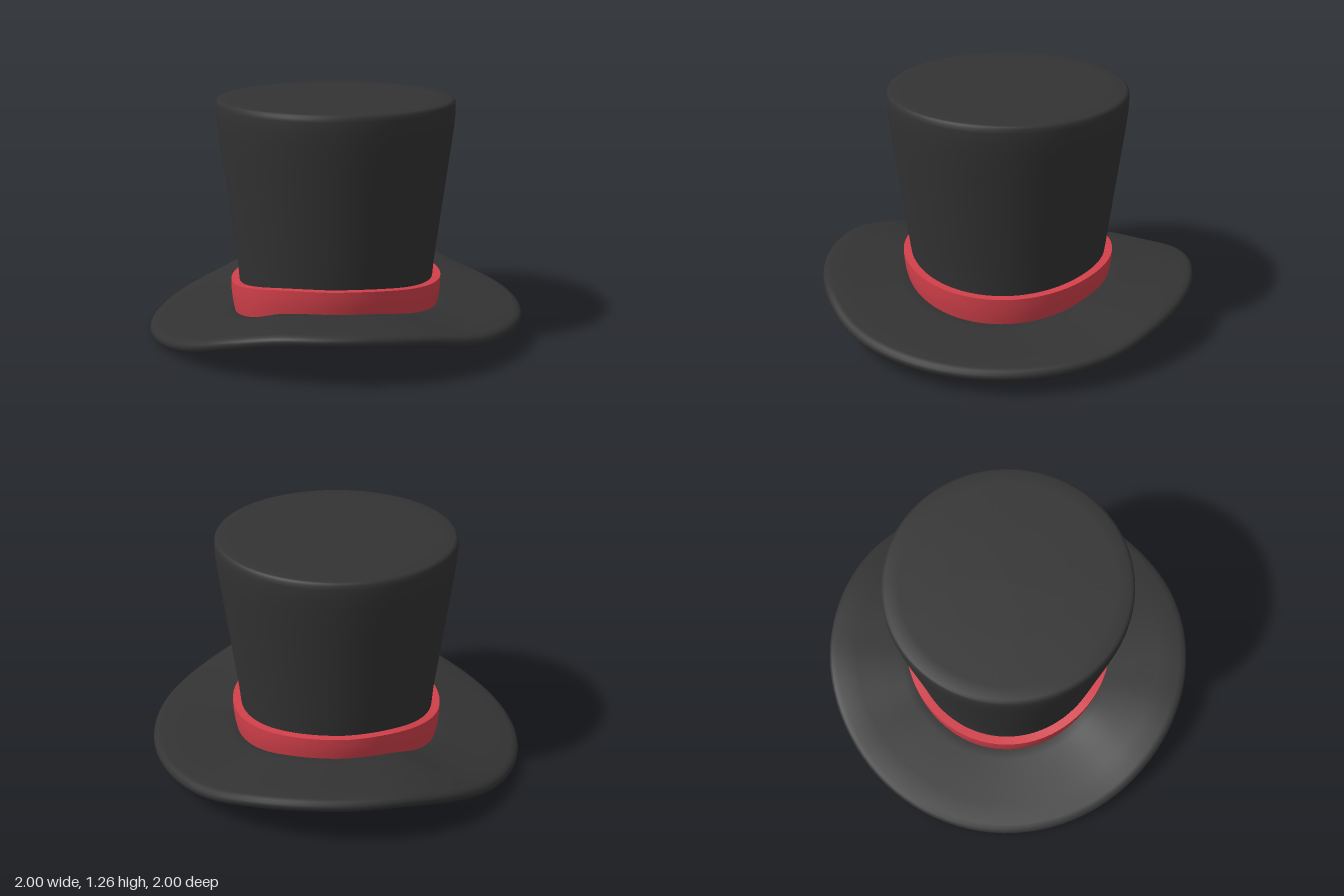
import * as THREE from 'three';
import { mergeVertices, toCreasedNormals } from 'three/addons/utils/BufferGeometryUtils.js';

const SEGMENTS = 96;

// Smooth height curve around the hat; samples are evenly spaced from u = -1 (right side) to u = 1 (left side).
function heightCurve(values) {
  const knots = values.map((v, i) => -1 + (2 * i) / (values.length - 1));
  const interpolant = new THREE.CubicInterpolant(knots, values, 1, [0]);
  return (u) => interpolant.evaluate(THREE.MathUtils.clamp(u, -1, 1))[0];
}

const brimEdge = heightCurve([0.066, 0.13, 0.212, 0.265, 0.275, 0.27, 0.24, 0.178, 0.145]);
const brimInner = heightCurve([0.125, 0.168, 0.218, 0.234, 0.236, 0.234, 0.224, 0.198, 0.165]);
const bandTop = heightCurve([0.285, 0.322, 0.348, 0.359, 0.36, 0.359, 0.35, 0.332, 0.31]);

// Height of the brim's upper surface at radius r.
const brimHeight = (r, u) => THREE.MathUtils.lerp(brimInner(u), brimEdge(u), (r - 0.5) / 0.5);

// Turns a profile, then moves every vertex to the height given by warp(y, r, u).
function warpedLathe(name, profile, warp, color, crease) {
  const points = profile.map(([r, y]) => new THREE.Vector2(r, y));
  let geometry = new THREE.LatheGeometry(points, SEGMENTS);
  const pos = geometry.attributes.position;
  for (let i = 0; i < pos.count; i++) {
    const r = Math.hypot(pos.getX(i), pos.getZ(i));
    const u = r > 0.001 ? pos.getX(i) / r : 0;
    pos.setY(i, warp(pos.getY(i), r, u));
  }
  geometry.deleteAttribute('uv');
  geometry.deleteAttribute('normal');
  geometry = toCreasedNormals(mergeVertices(geometry, 1e-4), crease);
  const mesh = new THREE.Mesh(geometry, new THREE.MeshStandardMaterial({ color, side: THREE.DoubleSide }));
  mesh.name = name;
  return mesh;
}

export function createModel() {
  const hat = new THREE.Group();
  hat.name = 'topHat';
  const black = 0x333333;
  const red = 0xd2404a;

  // Brim: closed cross-section with rounded edges; y is the offset from the upper surface.
  const brimProfile = [
    [0.515, -0.065], [0.6, -0.065], [0.72, -0.065], [0.85, -0.065], [0.96, -0.065],
    [0.985, -0.06], [0.997, -0.045], [1, -0.03], [0.997, -0.017], [0.985, -0.005],
    [0.96, 0], [0.85, 0], [0.72, 0], [0.6, 0], [0.515, 0],
    [0.503, -0.01], [0.5, -0.032], [0.503, -0.055], [0.515, -0.065],
  ];
  hat.add(warpedLathe('brim', brimProfile, (y, r, u) => brimHeight(r, u) + y, black, 1.2));

  // Band: ring that rests on the brim; y runs from 0 at its foot to 1 at its top.
  const bandProfile = [
    [0.51, 0], [0.545, 0], [0.556, 0.35], [0.562, 0.7], [0.563, 1],
    [0.51, 1], [0.508, 0.5], [0.51, 0],
  ];
  const bandWarp = (y, r, u) => THREE.MathUtils.lerp(brimHeight(0.52, u) - 0.01, bandTop(u), y);
  hat.add(warpedLathe('band', bandProfile, bandWarp, red, 0.7));

  // Crown: flaring wall with a softly rounded flat top; its foot follows the band.
  const crownProfile = [
    [0.515, 0.32], [0.527, 0.4], [0.544, 0.53], [0.563, 0.68], [0.583, 0.83], [0.603, 0.98],
    [0.618, 1.1], [0.625, 1.17], [0.626, 1.225], [0.624, 1.245], [0.617, 1.256],
    [0.605, 1.26], [0.54, 1.261], [0.3, 1.262], [0, 1.262],
  ];
  const crownWarp = (y, r, u) => y < 0.35 ? bandTop(u) - 0.04 : y;
  hat.add(warpedLathe('crown', crownProfile, crownWarp, black, 1.2));

  return hat;
}
